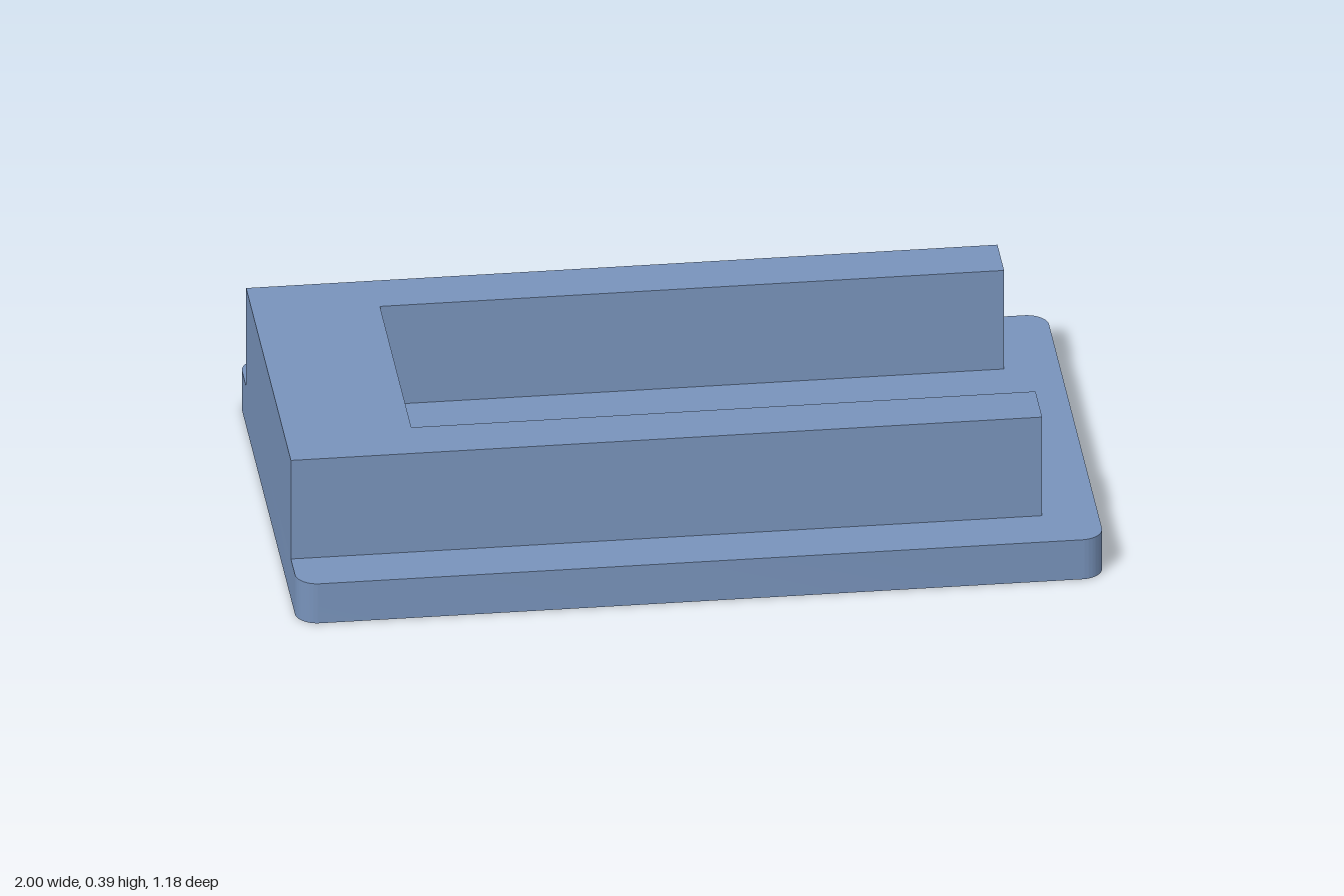
import * as THREE from 'three';
import { toCreasedNormals } from 'three/addons/utils/BufferGeometryUtils.js';

const BASE_H = 0.11, TOP = 0.385;

// Extrude a plan outline (x, z) upwards from y = bottom to y = top
function slab(name, shape, bottom, top, material) {
  const geo = new THREE.ExtrudeGeometry(shape, {
    depth: top - bottom, bevelEnabled: false, curveSegments: 12,
  });
  geo.rotateX(-Math.PI / 2).translate(0, bottom, 0);
  const mesh = new THREE.Mesh(toCreasedNormals(geo, Math.PI / 6), material);
  mesh.name = name;
  return mesh;
}

// Rectangle with rounded corners, centred on the origin
function roundedRect(hx, hz, r) {
  const s = new THREE.Shape();
  s.absarc(hx - r, hz - r, r, 0, Math.PI / 2);
  s.absarc(-hx + r, hz - r, r, Math.PI / 2, Math.PI);
  s.absarc(-hx + r, -hz + r, r, Math.PI, Math.PI * 1.5);
  s.absarc(hx - r, -hz + r, r, Math.PI * 1.5, Math.PI * 2);
  s.closePath();
  return s;
}

export function createModel() {
  const group = new THREE.Group();
  group.name = 'channelBlock';
  const blue = new THREE.MeshStandardMaterial({ color: 0x7893bb });
  blue.name = 'steel blue';

  // Rounded base plate
  group.add(slab('basePlate', roundedRect(1, 0.59, 0.055), 0, BASE_H, blue));

  // U-shaped wall, open towards +x, flush with the plate at -x
  const wall = new THREE.Shape([
    [-1, -0.453], [0.862, -0.453], [0.862, -0.318], [-0.685, -0.318],
    [-0.685, 0.318], [0.862, 0.318], [0.862, 0.453], [-1, 0.453],
  ].map(([x, z]) => new THREE.Vector2(x, z)));
  group.add(slab('channelWall', wall, BASE_H, TOP, blue));

  return group;
}
